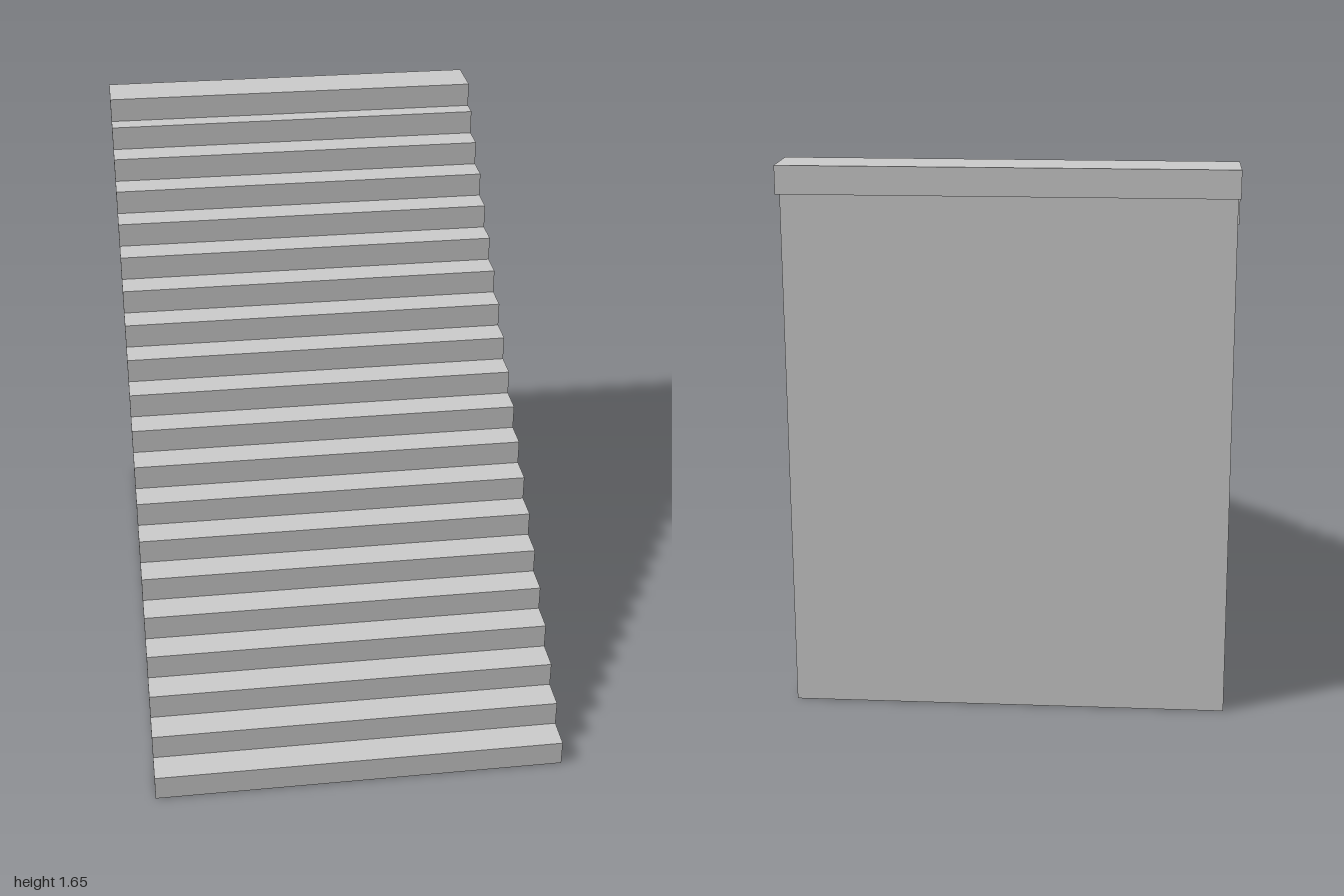
import * as THREE from 'three';

const STEPS = 20;
const WIDTH = 1.31;
const RISE = 1.648 / STEPS;
const RUN = 0.0985;
const DEPTH = 0.162; // each tread block runs back under the next one
const BACK = -0.966;
const INSET = 0.006; // the core is slightly narrower than the treads
const OVERLAP = 0.008;

// front edge of a step
const frontZ = (i) => (i === STEPS - 1 ? -1 + DEPTH : 1 - i * RUN);

export function createModel() {
  const group = new THREE.Group();
  group.name = 'staircase';
  const material = new THREE.MeshStandardMaterial({ color: 0xcccccc, flatShading: true });

  // Tread blocks, the last one overhanging the back wall
  const stepGeometry = new THREE.BoxGeometry(WIDTH, RISE, DEPTH);
  for (let i = 0; i < STEPS; i++) {
    const step = new THREE.Mesh(stepGeometry, material);
    step.name = i === STEPS - 1 ? 'topStep' : `step${i + 1}`;
    step.position.set(0, (i + 0.5) * RISE, frontZ(i) - DEPTH / 2);
    group.add(step);
  }

  // Solid core with a stepped profile tucked just inside the blocks
  const profile = new THREE.Shape();
  profile.moveTo(BACK, 0);
  for (let i = 0; i < STEPS - 1; i++) {
    const z = frontZ(i) - DEPTH + OVERLAP;
    profile.lineTo(z, i === 0 ? 0 : i * RISE + OVERLAP);
    profile.lineTo(z, (i + 1) * RISE + OVERLAP);
  }
  profile.lineTo(BACK, (STEPS - 1) * RISE + OVERLAP);
  profile.closePath();
  const coreWidth = WIDTH - 2 * INSET;
  const coreGeometry = new THREE.ExtrudeGeometry(profile, { depth: coreWidth, bevelEnabled: false });
  coreGeometry.translate(0, 0, -coreWidth / 2);
  coreGeometry.rotateY(-Math.PI / 2);
  const core = new THREE.Mesh(coreGeometry, material);
  core.name = 'core';
  group.add(core);

  return group;
}
